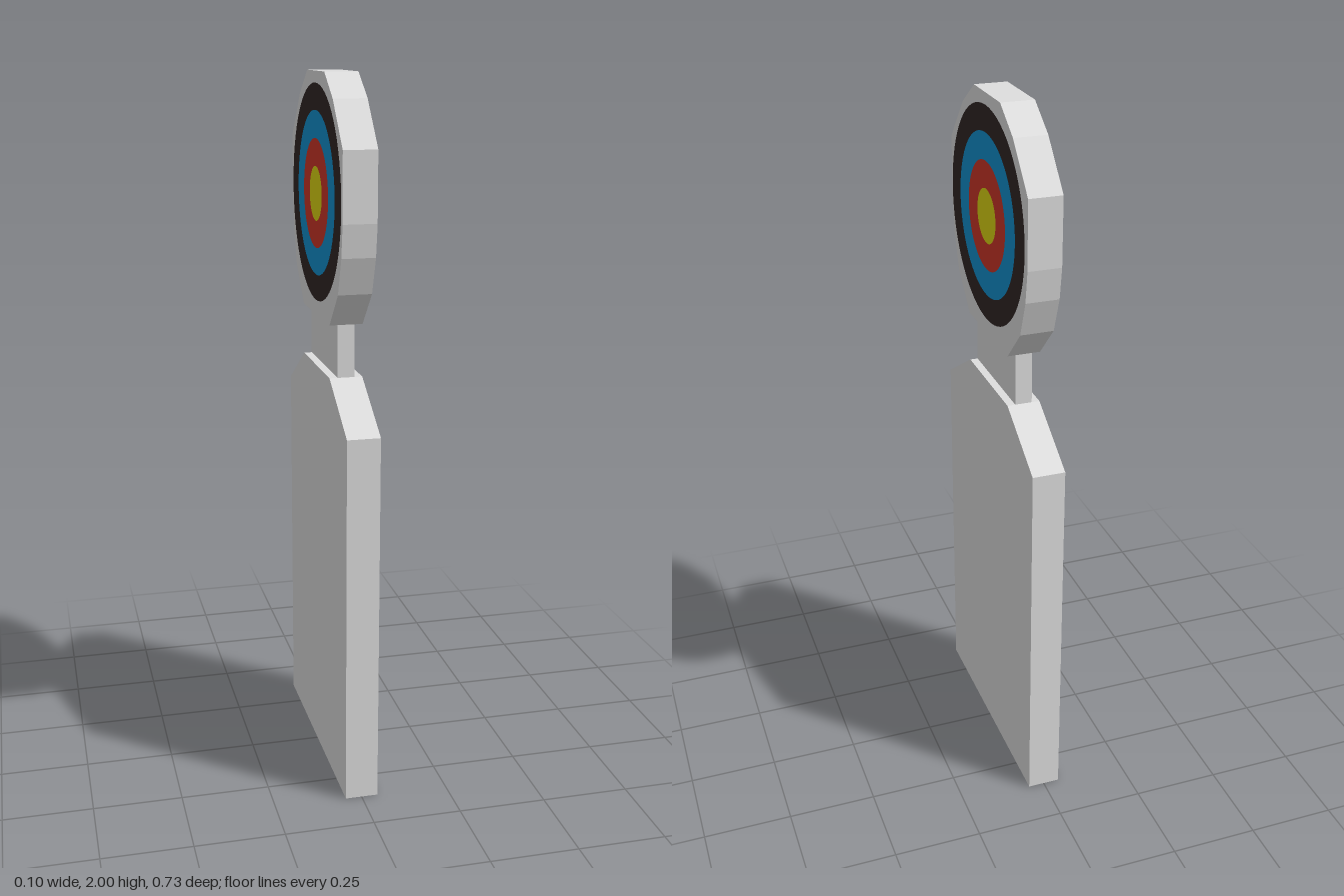
import * as THREE from 'three';

const material = (name, color) => {
  const m = new THREE.MeshStandardMaterial({ color });
  m.name = name;
  return m;
};

// Symmetric slab in the z-y plane from its half outline [z, y], listed bottom to top
function slab(name, half, thickness, mat) {
  const right = half.map(([z, y]) => new THREE.Vector2(z, y));
  const left = half.map(([z, y]) => new THREE.Vector2(-z, y)).reverse();
  const geometry = new THREE.ExtrudeGeometry(new THREE.Shape([...right, ...left]), {
    depth: thickness, bevelEnabled: false,
  });
  geometry.translate(0, 0, -thickness / 2);
  geometry.rotateY(Math.PI / 2);
  const mesh = new THREE.Mesh(geometry, mat);
  mesh.name = name;
  return mesh;
}

export function createModel() {
  const group = new THREE.Group();
  group.name = 'targetStand';
  const board = material('light grey board', 0xdedede);
  const thickness = 0.093;

  // Body, neck and faceted head
  group.add(
    slab('body', [[0.363, 0], [0.363, 1.065], [0.163, 1.185]], thickness, board),
    slab('neck', [[0.163, 1.18], [0.163, 1.335]], 0.048, board),
    slab('head', [
      [0.163, 1.333], [0.26, 1.433], [0.297, 1.535], [0.31, 1.625],
      [0.31, 1.813], [0.2, 1.935], [0.104, 2],
    ], thickness, board),
  );

  // Painted rings on both faces of the head
  const rings = [
    ['bullseye', 0, 0.075, material('yellow', 0xded612)],
    ['innerRing', 0.075, 0.15, material('red', 0xcf3527)],
    ['middleRing', 0.15, 0.225, material('blue', 0x1192d1)],
    ['outerRing', 0.225, 0.297, material('black', 0x302625)],
  ];
  for (const side of [1, -1]) {
    for (const [name, inner, outer, mat] of rings) {
      const geometry = inner
        ? new THREE.RingGeometry(inner, outer, 64)
        : new THREE.CircleGeometry(outer, 64);
      const ring = new THREE.Mesh(geometry, mat);
      ring.name = name;
      ring.rotation.y = side * Math.PI / 2;
      ring.position.set(side * (thickness / 2 + 0.0015), 1.672, 0.004);
      group.add(ring);
    }
  }
  return group;
}
